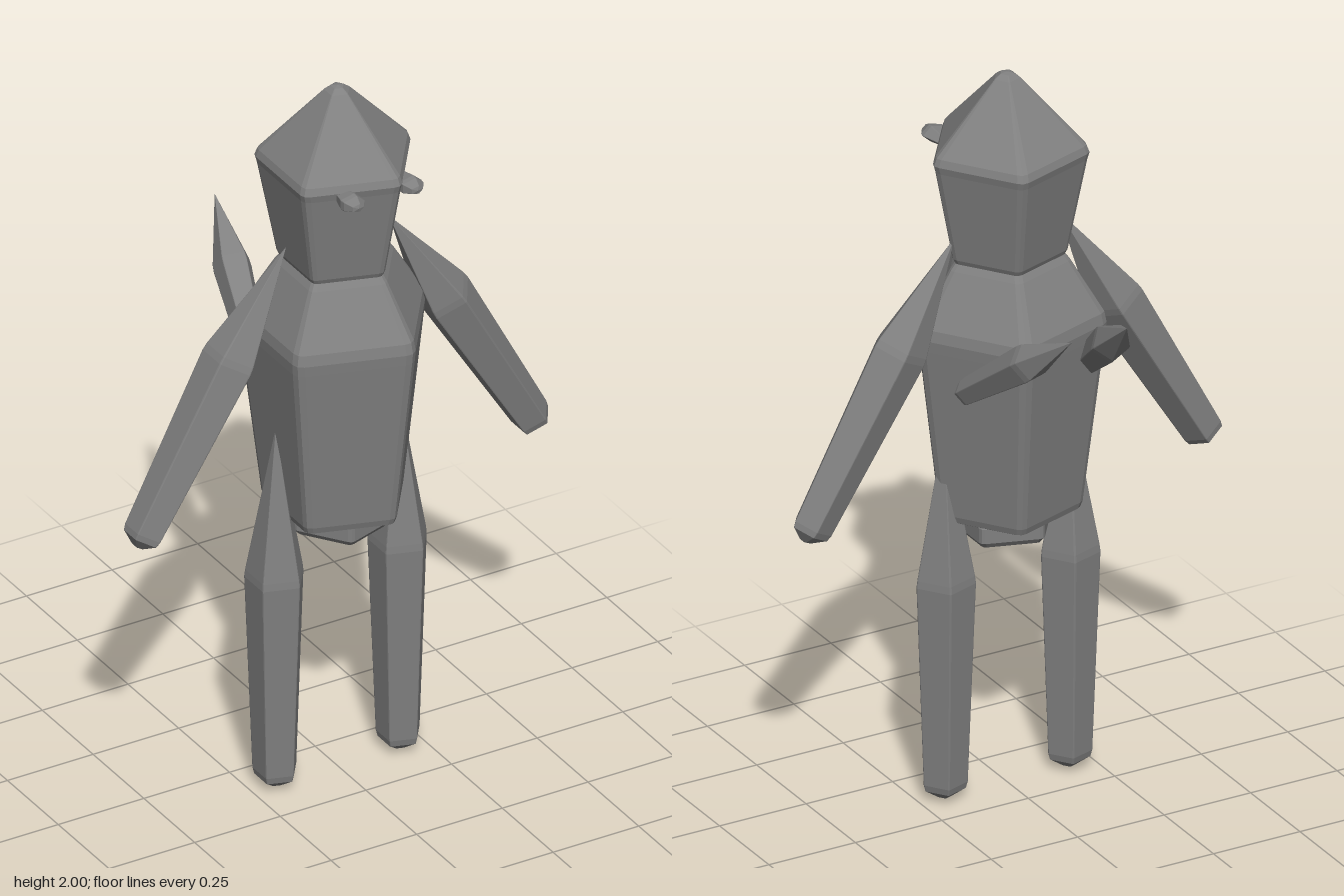
import * as THREE from 'three';

const grey = new THREE.MeshStandardMaterial({ color: 0x808080, flatShading: true });
grey.name = 'plain grey';

// Five-sided solid with softly bevelled corners; profile rows are [radius, y], bottom to top.
function pentagonSolid(profile, bevel = 0.07) {
  const geo = new THREE.LatheGeometry(profile.map(([r, y]) => new THREE.Vector2(r, y)), 15);
  const pos = geo.attributes.position;
  const corner = (k) => new THREE.Vector2(Math.cos(k * Math.PI * 0.4), -Math.sin(k * Math.PI * 0.4));
  for (let v = 0; v < pos.count; v++) {
    const i = Math.floor(v / profile.length) % 15;
    const r = profile[v % profile.length][0];
    const k = Math.floor(i / 3), side = (i % 3) - 1;
    const p = corner(k);
    if (side === 0) p.multiplyScalar(1 - bevel * 0.35);
    else p.lerp(corner(k + side), bevel);
    pos.setX(v, p.x * r);
    pos.setZ(v, p.y * r);
  }
  geo.computeVertexNormals();
  return geo;
}

function part(name, geo, x = 0, y = 0, z = 0) {
  const mesh = new THREE.Mesh(geo, grey);
  mesh.name = name;
  mesh.position.set(x, y, z);
  return mesh;
}

// Spike from a pointed tip, widening to a joint, then narrowing to a blunt end.
function limb(name, tip, end, joint, wide, narrow) {
  const a = new THREE.Vector3(...tip), dir = new THREE.Vector3(...end).sub(a);
  const L = dir.length();
  const geo = pentagonSolid([
    [0, -L], [narrow * 0.3, -L + narrow * 0.08], [narrow * 0.92, -L + narrow * 0.5],
    [narrow, -L + narrow * 0.8], [wide, -L * joint - 0.01], [wide * 0.97, -L * joint + 0.01], [0, 0],
  ], 0.04);
  const mesh = part(name, geo, ...tip);
  mesh.quaternion.setFromUnitVectors(new THREE.Vector3(0, -1, 0), dir.normalize());
  return mesh;
}

export function createModel() {
  const model = new THREE.Group();
  model.name = 'figure';
  const zc = 0.11;

  // Head, torso and pelvis
  model.add(part('head', pentagonSolid([
    [0, 1.495], [0.15, 1.495], [0.158, 1.51], [0.209, 1.765], [0.215, 1.785],
    [0.207, 1.805], [0.035, 1.985], [0.018, 1.997], [0, 2],
  ]), 0, 0, zc));
  model.add(part('torso', pentagonSolid([
    [0, 0.78], [0.175, 0.78], [0.19, 0.787], [0.197, 0.805], [0.256, 1.28], [0.259, 1.31],
    [0.253, 1.34], [0.165, 1.48], [0.15, 1.498], [0, 1.5],
  ]), 0, 0, zc));
  const pelvis = part('pelvis', pentagonSolid([
    [0, 0.698], [0.06, 0.703], [0.125, 0.72], [0.138, 0.735], [0.138, 0.775], [0.1, 0.85], [0, 0.85],
  ]), 0.008, 0, zc);
  pelvis.rotation.y = Math.PI;
  model.add(pelvis);

  for (const [side, s] of [['left', 1], ['right', -1]]) {
    // Legs, arms and back spikes
    model.add(limb(side + 'Leg', [s * 0.18, 1.05, zc], [s * 0.18, 0.005, zc], 0.41, 0.081, 0.06));
    model.add(limb(side + 'Arm', [s * 0.15, 1.57, zc], [s * 0.585, 0.822, zc], 0.37, 0.075, 0.055));
    model.add(limb(side + 'BackSpike', [s * 0.08, 1.462, -0.36], [s * 0.178, 1.17, 0.03], 0.39, 0.052, 0.036));

    // Eyes
    const eye = part(side + 'Eye', pentagonSolid([
      [0, -0.05], [0.022, -0.045], [0.036, 0.005], [0.034, 0.018], [0.018, 0.042], [0, 0.045],
    ]), s * 0.086 + 0.016, 1.772, 0.288);
    eye.rotation.x = Math.PI / 2;
    eye.scale.z = 0.65;
    model.add(eye);
  }
  return model;
}
